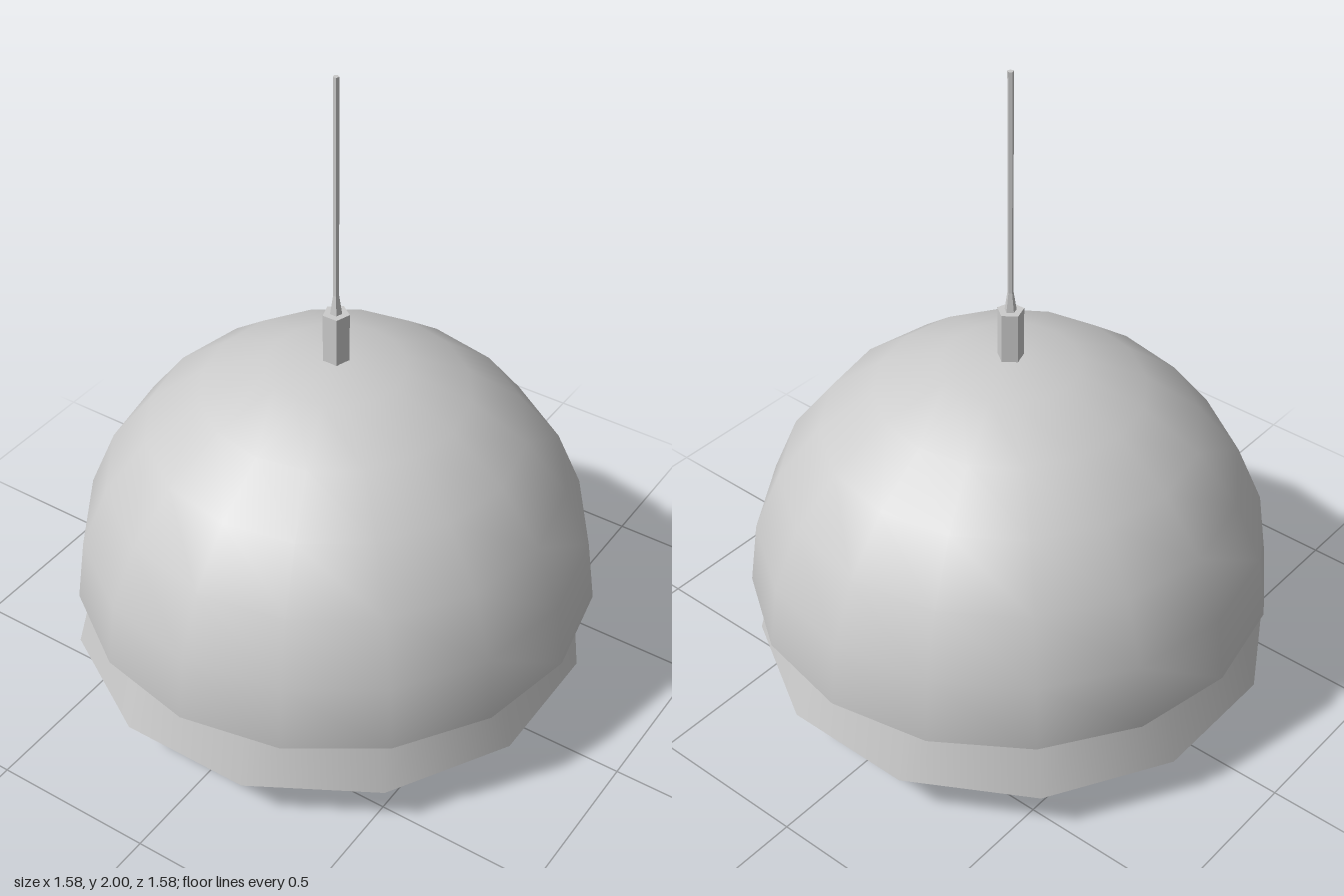
import * as THREE from 'three';

const solid = new THREE.MeshStandardMaterial({ color: 0xcccccc });
const faceted = new THREE.MeshStandardMaterial({ color: 0xcccccc, flatShading: true });
const sheet = new THREE.MeshStandardMaterial({ color: 0xcccccc, side: THREE.DoubleSide });

export function createModel() {
  const lamp = new THREE.Group();
  lamp.name = 'pendantLamp';

  function add(name, geometry, material, x, y, z) {
    const mesh = new THREE.Mesh(geometry, material);
    mesh.name = name;
    mesh.position.set(x, y, z);
    lamp.add(mesh);
    return mesh;
  }

  // Five-sided upright piece between two heights, one corner pointing back
  function post(name, rTop, rBottom, y0, y1) {
    const geometry = new THREE.CylinderGeometry(rTop, rBottom, y1 - y0, 5);
    geometry.rotateY(Math.PI);
    return add(name, geometry, faceted, 0, (y0 + y1) / 2, 0);
  }

  // Outer shade: open hemisphere
  const dome = new THREE.SphereGeometry(0.79, 16, 6, 0, Math.PI * 2, 0, Math.PI / 2);
  add('outerShade', dome, sheet, 0, 0.33, 0).scale.y = 0.987;

  // Inner shade: flared open skirt, flat sides on the axes, slightly off centre
  const skirt = new THREE.CylinderGeometry(0.67, 0.787, 0.46, 12, 1, true);
  skirt.rotateY(Math.PI / 12);
  add('innerShade', skirt, sheet, -0.015, 0.37, 0.003);

  // Globe bulb
  add('bulb', new THREE.SphereGeometry(0.385, 16, 12), solid, 0, 0.385, 0);

  // Hanging hardware
  post('bulbStem', 0.02, 0.02, 0.75, 1.1);
  post('cap', 0.04, 0.04, 1.09, 1.26);
  post('cordGrip', 0.009, 0.018, 1.26, 1.32);
  post('cord', 0.009, 0.009, 1.31, 2);

  return lamp;
}
